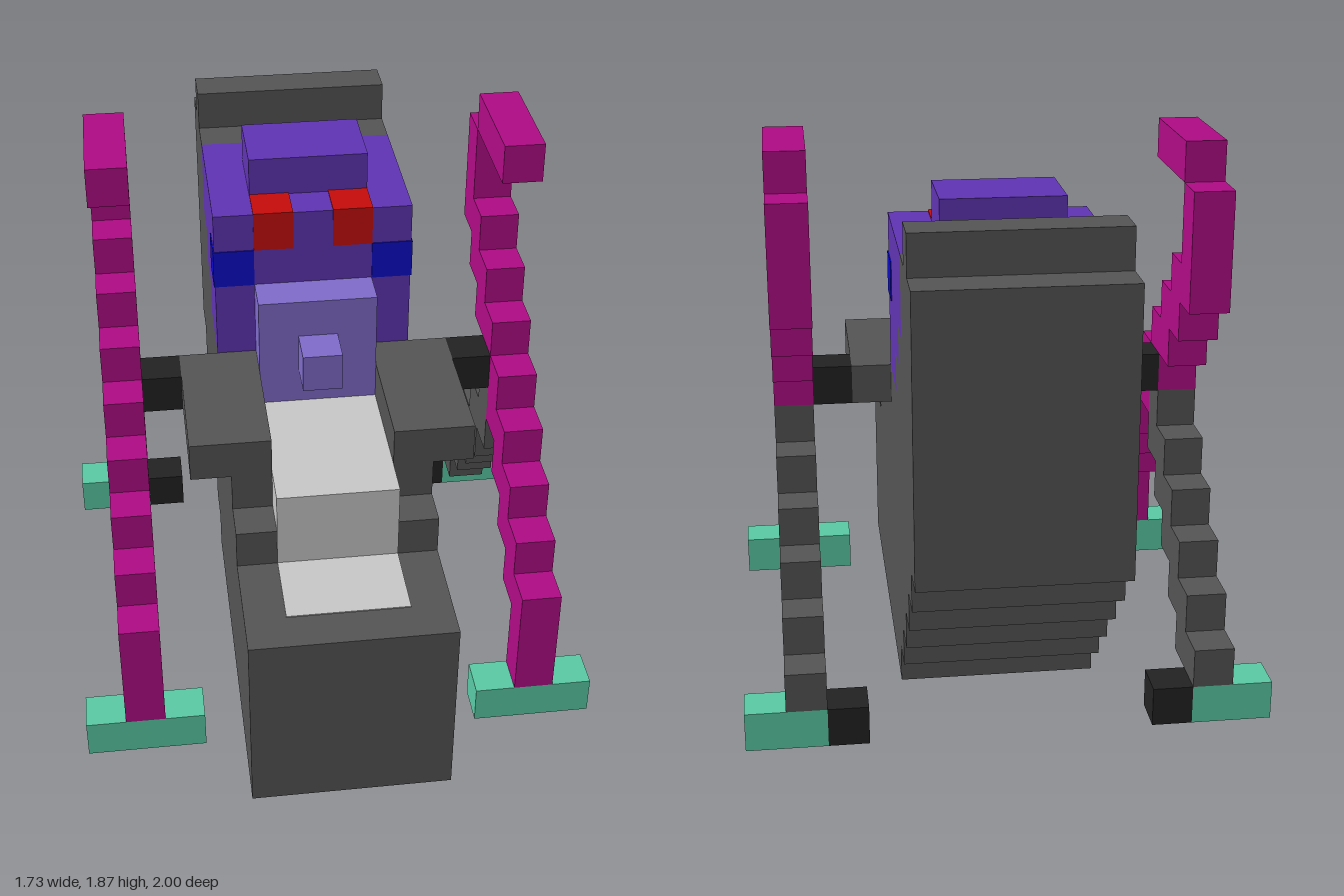
import * as THREE from 'three';

const mat = (name, color) => {
  const m = new THREE.MeshStandardMaterial({ color });
  m.name = name;
  return m;
};

export function createModel() {
  const M = {
    grey: mat('dark grey', 0x555555),
    black: mat('black', 0x222222),
    pale: mat('pale grey', 0xc8c8c8),
    purple: mat('purple', 0x6034b4),
    lilac: mat('lilac', 0x806ccb),
    magenta: mat('magenta', 0xb00c86),
    green: mat('green', 0x5bcba6),
    red: mat('red', 0xc80c0c),
    blue: mat('blue', 0x0c0ccc),
  };
  const root = new THREE.Group();
  root.name = 'blockCreature';
  // Everything is laid out in blocks: x from the middle, y up, k back from the front face
  const U = 2 / 15;
  const zOf = (k) => 7.5 - k;

  function box(parent, name, m, x0, x1, y0, y1, k0, k1) {
    const g = new THREE.BoxGeometry(Math.abs(x1 - x0) * U, (y1 - y0) * U, (k1 - k0) * U);
    const mesh = new THREE.Mesh(g, m);
    mesh.name = name;
    mesh.position.set((x0 + x1) / 2 * U, (y0 + y1) / 2 * U, zOf((k0 + k1) / 2) * U);
    parent.add(mesh);
  }

  // Side profile [k, y] extruded across the width
  function slab(name, m, width, pts) {
    const shape = new THREE.Shape(pts.map(([k, y]) => new THREE.Vector2(zOf(k) * U, y * U)));
    const g = new THREE.ExtrudeGeometry(shape, { depth: width * U, bevelEnabled: false });
    g.translate(0, 0, -width * U / 2);
    g.rotateY(-Math.PI / 2);
    const mesh = new THREE.Mesh(g, m);
    mesh.name = name;
    root.add(mesh);
  }

  // Body with stepped chest, back shell and stepped underside
  slab('body', M.grey, 5, [
    [0, 0], [0, 5], [3, 5], [3, 6], [4, 6], [4, 7], [8, 7], [8, 8], [10, 8], [10, 9],
    [11, 9], [11, 10], [12, 10], [12, 12], [13, 12], [13, 13], [14, 13], [14, 12],
    [15, 12], [15, 5], [14, 5], [14, 4], [13, 4], [13, 3], [12, 3], [12, 2], [11, 2],
    [11, 1], [10, 1], [10, 0],
  ]);
  box(root, 'belly', M.pale, -1.5, 1.5, 5, 7.03, 2.97, 7);
  box(root, 'bellyPatch', M.pale, -1.5, 1.5, 5, 5.03, 1, 3);

  // Head
  slab('head', M.purple, 5, [
    [8, 8], [8, 12], [12, 12], [12, 10], [11, 10], [11, 9], [10, 9], [10, 8],
  ]);
  box(root, 'headTop', M.purple, -1.5, 1.5, 12, 13, 9, 11);
  box(root, 'muzzle', M.lilac, -1.5, 1.5, 7, 10, 7, 8);
  box(root, 'nose', M.lilac, -0.5, 0.5, 8, 9, 6, 7);

  // Leg steps: [row, first k, last k + 1]
  const frontLeg = [[1, 2, 3], [2, 2, 3]];
  for (let i = 0; i < 8; i++) frontLeg.push([3 + i, 2 + i, 4 + i]);
  frontLeg.push([11, 10, 11], [12, 10, 11], [13, 7, 10]);
  const rearLeg = [[6, 7, 8]];
  for (let i = 0; i < 5; i++) rearLeg.push([5 - i, 7 + i, 9 + i]);

  for (const s of [1, -1]) {
    const side = new THREE.Group();
    side.name = s > 0 ? 'leftSide' : 'rightSide';
    root.add(side);
    const b = (name, m, x0, x1, ...r) => box(side, name, m, s * x0, s * x1, ...r);
    // Face markings
    b('eye', M.red, 0.5, 1.5, 11, 12.03, 7.97, 9);
    b('cheek', M.blue, 1.5, 2.53, 10, 11, 7.97, 9);
    // Arm and hand
    b('arm', M.grey, 1.5, 3.5, 7, 8, 4, 8);
    b('hand', M.black, 3.5, 4.5, 7, 8, 7, 8);
    // Stepped legs and feet
    for (const [y, k0, k1] of frontLeg) b('frontLeg', M.magenta, 4.5, 5.5, y, y + 1, k0, k1);
    for (const [y, k0, k1] of rearLeg) b('rearLeg', M.grey, 4.5, 5.5, y, y + 1, k0, k1);
    b('frontFoot', M.green, 3.5, 6.5, 0, 1, 2, 3);
    b('rearFoot', M.green, 4.5, 6.5, 0, 1, 12, 13);
    b('rearHeel', M.black, 3.5, 4.5, 0, 1, 12, 13);
  }
  return root;
}
